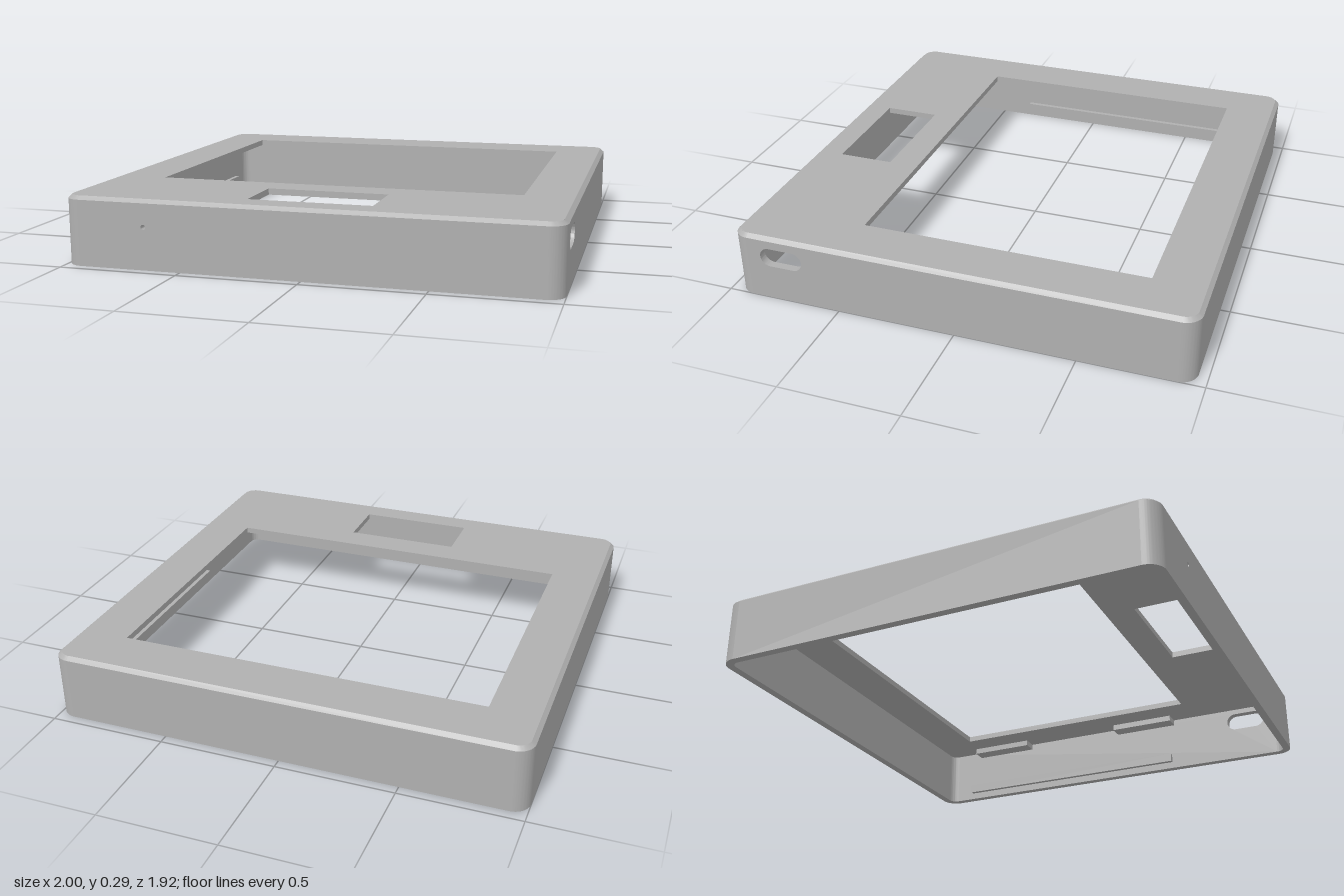
import * as THREE from 'three';
import { toCreasedNormals } from 'three/addons/utils/BufferGeometryUtils.js';

const HX = 1, HZ = 0.96;        // half width and half depth
const H = 0.286, SHOULDER = 0.271; // full height, start of the chamfer
const T = 0.035, R = 0.07;      // wall thickness, corner radius
const CH = 0.017;               // chamfer inset
const UNDER = 0.26;             // underside of the face plate

const grey = new THREE.MeshStandardMaterial({ color: 0xb0b0b0 });
grey.name = 'grey plastic';

function extrude(shape, depth) {
  const g = new THREE.ExtrudeGeometry(shape, { depth, bevelEnabled: false, curveSegments: 12 });
  return toCreasedNormals(g, 0.6);
}

function add(group, name, geometry) {
  const mesh = new THREE.Mesh(geometry, grey);
  mesh.name = name;
  group.add(mesh);
  return mesh;
}

function rect(C, x0, y0, x1, y1) {
  return new C([[x0, y0], [x1, y0], [x1, y1], [x0, y1]].map(p => new THREE.Vector2(...p)));
}

function roundedRect(hx, hy, r) {
  const s = new THREE.Shape();
  s.absarc(hx - r, hy - r, r, 0, Math.PI / 2);
  s.absarc(-hx + r, hy - r, r, Math.PI / 2, Math.PI);
  s.absarc(-hx + r, -hy + r, r, Math.PI, Math.PI * 1.5);
  s.absarc(hx - r, -hy + r, r, Math.PI * 1.5, Math.PI * 2);
  s.closePath();
  return s;
}

// Straight wall between two corners; local x runs along the wall, z outwards
function wall(group, name, half, distance, angle, hole) {
  const shape = rect(THREE.Shape, -half + R, 0, half - R, SHOULDER);
  if (hole) shape.holes.push(hole);
  const g = extrude(shape, T).translate(0, 0, distance - T).rotateY(angle);
  add(group, name, g);
}

// Sloping edge between the walls and the face plate
function chamferGeometry() {
  const loops = [[0, SHOULDER], [CH, H]].map(([inset, y]) => {
    const points = [];
    const r = R - inset;
    for (let q = 0; q < 4; q++) {
      const cx = (q === 0 || q === 3 ? 1 : -1) * (HX - R);
      const cz = (q < 2 ? 1 : -1) * (HZ - R);
      for (let i = 0; i <= 12; i++) {
        const a = (q + i / 12) * Math.PI / 2;
        points.push([cx + r * Math.cos(a), y, cz + r * Math.sin(a)]);
      }
    }
    return points;
  });
  const [low, high] = loops, n = low.length, pos = [];
  for (let i = 0; i < n; i++) {
    const j = (i + 1) % n;
    for (const p of [low[i], high[i], high[j], low[i], high[j], low[j]]) pos.push(...p);
  }
  const g = new THREE.BufferGeometry();
  g.setAttribute('position', new THREE.Float32BufferAttribute(pos, 3));
  g.computeVertexNormals();
  return toCreasedNormals(g, 0.6);
}

export function createModel() {
  const model = new THREE.Group();
  model.name = 'displayBezel';

  // Walls, with a pinhole in front and a cable slot on one side
  const pinhole = new THREE.Path().absarc(-0.65, 0.175, 0.01, 0, Math.PI * 2);
  const slot = new THREE.Path();
  slot.absarc(-0.692, 0.195, 0.041, -Math.PI / 2, Math.PI / 2);
  slot.absarc(-0.795, 0.195, 0.041, Math.PI / 2, Math.PI * 1.5);
  slot.closePath();
  wall(model, 'frontWall', HX, HZ, 0, pinhole);
  wall(model, 'backWall', HX, HZ, Math.PI);
  wall(model, 'leftWall', HZ, HX, Math.PI / 2, slot);
  wall(model, 'rightWall', HZ, HX, -Math.PI / 2);

  // Rounded corners
  for (let q = 0; q < 4; q++) {
    const a = q * Math.PI / 2;
    const s = new THREE.Shape();
    s.absarc(0, 0, R, a, a + Math.PI / 2, false);
    s.absarc(0, 0, R - T, a + Math.PI / 2, a, true);
    s.closePath();
    const x = (q === 0 || q === 3 ? 1 : -1) * (HX - R);
    const z = (q < 2 ? -1 : 1) * (HZ - R);
    add(model, 'corner', extrude(s, SHOULDER).rotateX(-Math.PI / 2).translate(x, 0, z));
  }

  // Face plate with the screen window and the small window
  const face = roundedRect(HX - CH, HZ - CH, R - CH);
  face.holes.push(rect(THREE.Path, -0.78, -0.47, 0.78, 0.73));
  face.holes.push(rect(THREE.Path, -0.255, -0.84, 0.255, -0.6));
  add(model, 'facePlate', extrude(face, H - UNDER).rotateX(-Math.PI / 2).translate(0, UNDER, 0));
  add(model, 'chamfer', chamferGeometry());

  // Snap rails and screen tabs inside both side walls
  for (const side of [-1, 1]) {
    const rail = add(model, 'snapRail', new THREE.BoxGeometry(0.03, 0.04, 1.15));
    rail.position.set(side * (HX - T - 0.005), 0.052, -0.225);
    for (const z of [0.215, -0.595]) {
      const tab = add(model, 'screenTab', new THREE.BoxGeometry(0.08, 0.03, 0.31));
      tab.position.set(side * (HX - T - 0.03), UNDER - 0.012, z);
    }
  }

  // Collar behind the pinhole
  const collar = new THREE.Shape().absarc(0, 0, 0.032, 0, Math.PI * 2);
  collar.holes.push(new THREE.Path().absarc(0, 0, 0.014, 0, Math.PI * 2));
  add(model, 'pinholeCollar', extrude(collar, 0.03)).position.set(-0.65, 0.175, HZ - T - 0.025);

  return model;
}
